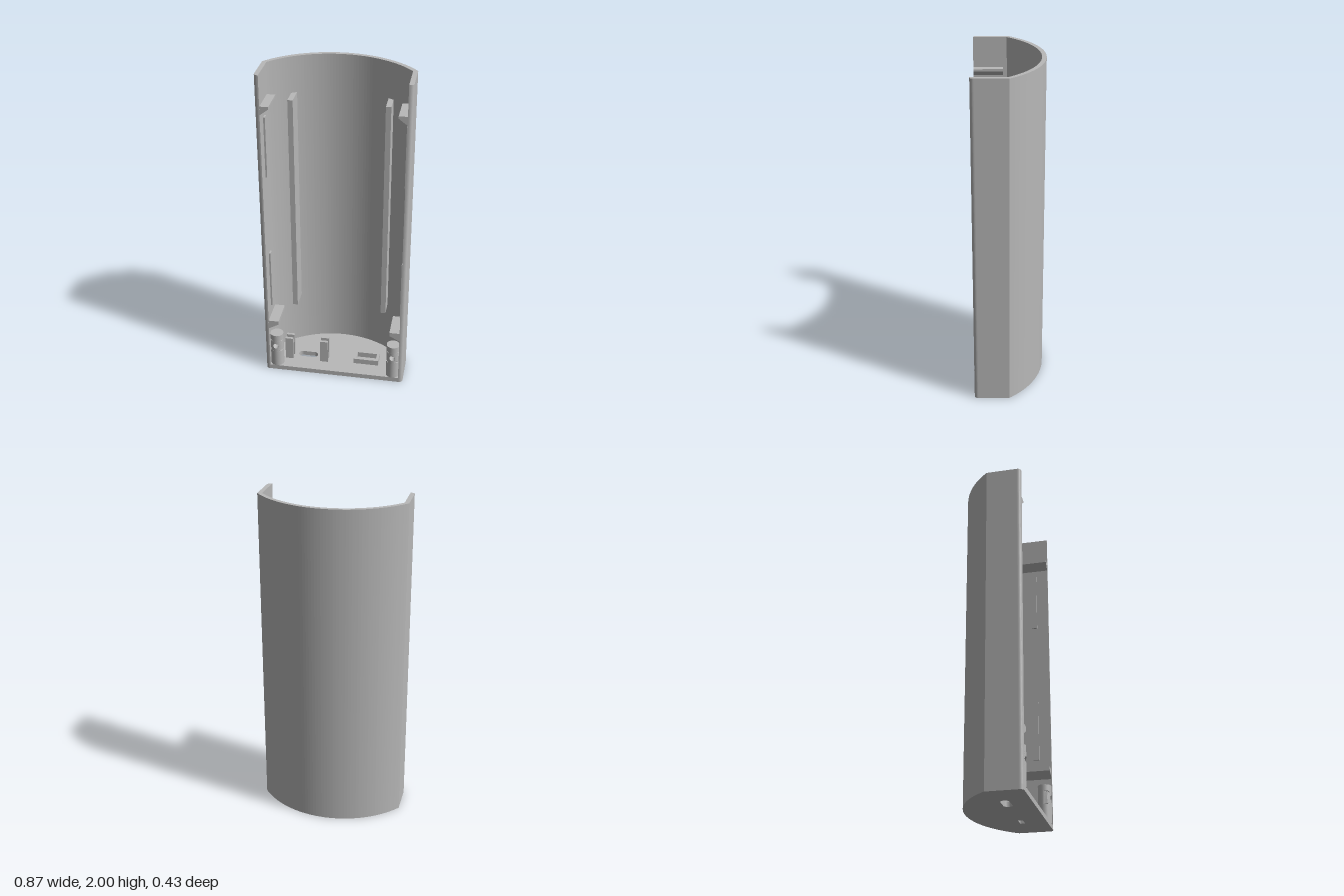
import * as THREE from 'three';

const grey = new THREE.MeshStandardMaterial({ color: 0xb8b8b8, side: THREE.DoubleSide });
grey.name = 'grey plastic';

const FLOOR = 0.03, FRONT = 0.21, OUT = 0.437, INN = 0.41;
const ARC_Z = 0.342, R_OUT = 0.555, R_IN = 0.529;

function add(parent, name, geometry, x = 0, y = 0, z = 0) {
  const mesh = new THREE.Mesh(geometry, grey);
  mesh.name = name;
  mesh.position.set(x, y, z);
  parent.add(mesh);
  return mesh;
}

// box given by its limits on each axis
function block(parent, name, x0, x1, y0, y1, z0, z1) {
  return add(parent, name, new THREE.BoxGeometry(x1 - x0, y1 - y0, z1 - z0),
    (x0 + x1) / 2, (y0 + y1) / 2, (z0 + z1) / 2);
}

// plan shapes use y = -z and are extruded upward
function rise(shape, height) {
  return new THREE.ExtrudeGeometry(shape, { depth: height, bevelEnabled: false, curveSegments: 28 })
    .rotateX(-Math.PI / 2);
}

function rectangle(path, x0, x1, z0, z1) {
  path.moveTo(x0, -z0);
  path.lineTo(x0, -z1);
  path.lineTo(x1, -z1);
  path.lineTo(x1, -z0);
  path.closePath();
  return path;
}

// outer plan: straight sides, rounded front corners, bowed back
function outline() {
  const s = new THREE.Shape(), a = Math.acos(OUT / R_OUT), c = 0.025;
  s.moveTo(OUT - c, -FRONT);
  s.quadraticCurveTo(OUT, -FRONT, OUT, -FRONT + c);
  s.absarc(0, -ARC_Z, R_OUT, a, Math.PI - a, false);
  s.lineTo(-OUT, -FRONT + c);
  s.quadraticCurveTo(-OUT, -FRONT, -OUT + c, -FRONT);
  return s;
}

function shellShape() {
  const s = outline(), a = Math.acos(INN / R_IN);
  s.lineTo(-INN, -FRONT);
  s.absarc(0, -ARC_Z, R_IN, Math.PI - a, a, true);
  s.lineTo(INN, -FRONT);
  s.closePath();
  return s;
}

function floorShape() {
  const s = outline();
  s.closePath();
  const slot = new THREE.Path();
  slot.absarc(-0.227, -0.064, 0.026, Math.PI / 2, Math.PI * 1.5, false);
  slot.absarc(-0.154, -0.064, 0.026, -Math.PI / 2, Math.PI / 2, false);
  slot.closePath();
  s.holes.push(slot, rectangle(new THREE.Path(), 0.155, 0.228, 0.052, 0.08));
  return s;
}

// curved post face with a blind bore; columns run from bore centre to a square rim
function boredFace(r, bore) {
  const cols = 6, rows = 32;
  const g = new THREE.PlaneGeometry(1, 1, cols, rows), p = g.attributes.position;
  for (let i = 0; i < p.count; i++) {
    const col = i % (cols + 1);
    const a = (p.getY(i) + 0.5) * Math.PI * 2;
    const c = Math.cos(a), s = Math.sin(a);
    const rim = r / Math.max(Math.abs(c), Math.abs(s));
    const t = Math.max(0, (col - 2) / (cols - 2));
    const rad = col === 0 ? 0 : bore + (rim - bore) * t;
    const x = c * rad;
    p.setXYZ(i, x, s * rad, col < 2 ? 0 : Math.sqrt(Math.max(0, r * r - x * x)));
  }
  const flat = g.toNonIndexed();
  flat.computeVertexNormals();
  return flat;
}

// screw post with a sideways bore
function screwPost(side) {
  const post = new THREE.Group(), r = 0.041, holeY = 0.18, top = 0.26;
  post.name = 'screwPost';
  const low = holeY - r, high = holeY + r;
  add(post, 'postBase', new THREE.CylinderGeometry(r, r, low - FLOOR, 32), 0, (low + FLOOR) / 2);
  add(post, 'postTop', new THREE.CylinderGeometry(r, r, top - high, 32), 0, (top + high) / 2);
  add(post, 'postBack', new THREE.CylinderGeometry(r, r, 2 * r, 16, 1, true, Math.PI / 2, Math.PI), 0, holeY);
  add(post, 'postBore', boredFace(r, 0.018), 0, holeY);
  post.position.set(side * 0.37, 0, 0.171);
  return post;
}

// snap ledge: flat top, short lip, sloping underside
function snapLedge(side, tip, top, lip, bottom) {
  const s = new THREE.Shape();
  s.moveTo(side * (INN + 0.005), top);
  s.lineTo(side * tip, top);
  s.lineTo(side * tip, lip);
  s.lineTo(side * INN, bottom);
  s.lineTo(side * (INN + 0.005), bottom);
  s.closePath();
  return new THREE.ExtrudeGeometry(s, { depth: 0.179, bevelEnabled: false });
}

export function createModel() {
  const model = new THREE.Group();
  model.name = 'halfEnclosure';

  add(model, 'shell', rise(shellShape(), 2 - FLOOR), 0, FLOOR, 0);
  add(model, 'floor', rise(floorShape(), FLOOR));

  // features on both side walls
  for (const side of [-1, 1]) {
    const span = (a, b) => (side > 0 ? [a, b] : [-b, -a]);
    block(model, 'backRib', ...span(0.266, 0.297), 0.375, 1.78, -0.118, 0.01);
    add(model, 'upperSnap', snapLedge(side, 0.36, 1.817, 1.803, 1.765), 0, 0, 0.03);
    add(model, 'lowerSnap', snapLedge(side, 0.347, 0.373, 0.35, 0.315), 0, 0, 0.03);
    for (const y of [0.44, 1.34]) {
      block(model, 'sideStrip', ...span(0.4, INN + 0.003), y, y + 0.38, 0.1, 0.135);
    }
    model.add(screwPost(side));
  }

  // paired holder fins beside the slot
  for (const x of [-0.328, -0.104]) {
    for (const z of [0.064, 0.107]) {
      block(model, 'holderFin', x, x + 0.051, FLOOR, 0.185, z, z + 0.017);
    }
  }

  // raised frame around the small opening
  const frame = rectangle(new THREE.Shape(), 0.112, 0.27, 0.021, 0.107);
  frame.holes.push(rectangle(new THREE.Path(), 0.128, 0.253, 0.036, 0.09));
  add(model, 'socketFrame', rise(frame, 0.035), 0, FLOOR, 0);

  return model;
}
